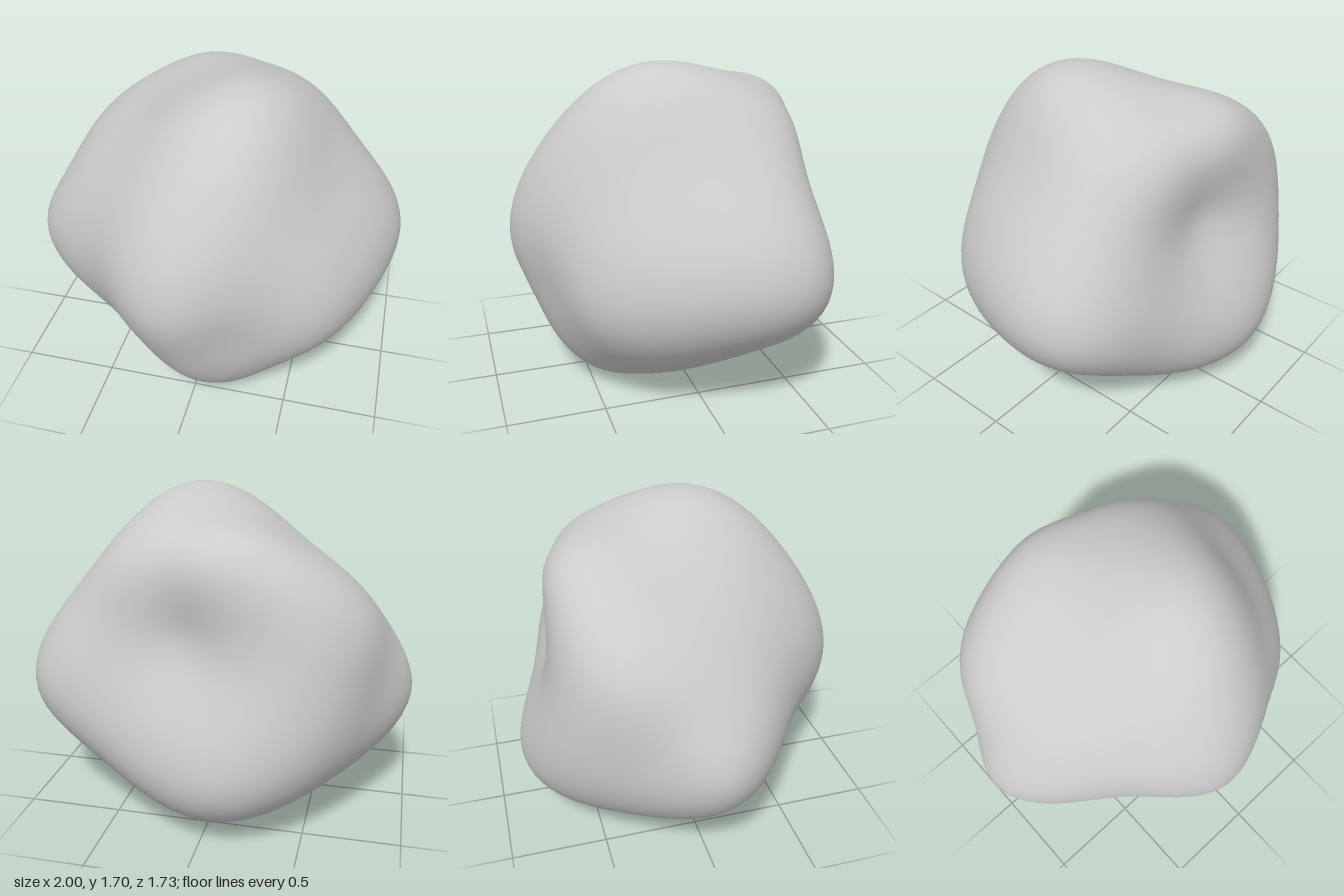
import * as THREE from 'three';
import { mergeVertices } from 'three/addons/utils/BufferGeometryUtils.js';

const CENTRE = new THREE.Vector3(0, 0.845, 0);

// Landmarks the surface passes through: corners, ridges, broad faces, one hollow
const LANDMARKS = [
  [-1, 0.69, -0.01], [0.99, 0.64, -0.25], [0.92, 0.66, -0.48], [-0.08, 0.74, 0.86], // side and front corners
  [0.18, 1.69, 0.15], [-0.08, 0.42, -0.87], [0.1, 0.01, 0.4], [0.6, 0.55, 0.58], // top, back, base, front ridge
  [-0.2, 1.53, -0.54], [0, 1.36, -0.66], [0.41, 1.6, 0.05], [0.15, 1.59, 0.4], // upper rim
  [0, 1.64, -0.12], [0.1, 1.58, -0.4], [-0.4, 1.46, -0.2], [0.33, 1.3, -0.58], // crown and back rim
  [0.65, 1.09, -0.52], [0.73, 1.21, -0.1], [0.47, 1.15, 0.52], [0.58, 1.35, 0.1], // right faces
  [-0.8, 1.1, -0.35], [-0.57, 1.36, -0.42], [-0.35, 1.3, 0.42], [-0.57, 0.85, 0.5], // left faces
  [-0.86, 0.75, -0.32], [-0.9, 0.93, -0.1], [0.25, 0.6, 0.73], [0, 0.28, 0.69], // left edge and front
  [-0.45, 0.14, 0.1], [-0.36, 0.42, 0.54], [0, 0.15, 0.6], [0.45, 0.22, 0.45], // lower front
  [0.47, 0.13, 0.1], [0.7, 0.31, -0.2], [0.6, 0.3, -0.45], [0.15, 0.14, -0.65], // lower right and back
  [-0.64, 0.6, -0.64], [-0.42, 0.14, -0.4], [0, 0.02, -0.2], [0.05, 0.01, 0.12], // lower left and base
  [0.1, 1.1, -0.6], [-0.35, 1.1, -0.7], // hollow in the back and its rim
].map(p => new THREE.Vector3(...p).sub(CENTRE));

// Gaussian elimination with pivoting on rows [coefficients..., value]
function solve(rows) {
  const n = rows.length;
  for (let c = 0; c < n; c++) {
    let best = c;
    for (let r = c + 1; r < n; r++) if (Math.abs(rows[r][c]) > Math.abs(rows[best][c])) best = r;
    [rows[c], rows[best]] = [rows[best], rows[c]];
    for (let r = 0; r < n; r++) {
      if (r === c) continue;
      const f = rows[r][c] / rows[c][c];
      for (let k = c; k <= n; k++) rows[r][k] -= f * rows[c][k];
    }
  }
  return rows.map((row, i) => row[n] / row[i]);
}

// Smooth rule for the radius along any direction: 1/radius is blended,
// since it is linear over a flat face
function radiusRule(points) {
  const dirs = points.map(p => p.clone().normalize());
  const basis = d => [...dirs.map(e => d.distanceTo(e) ** 3), 1, d.x, d.y, d.z];
  const rows = dirs.map((d, i) => [...basis(d), 1 / points[i].length()]);
  for (const side of [() => 1, d => d.x, d => d.y, d => d.z]) {
    rows.push([...dirs.map(side), 0, 0, 0, 0, 0]);
  }
  const weights = solve(rows);
  return d => 1 / basis(d).reduce((sum, b, i) => sum + b * weights[i], 0);
}

export function createModel() {
  const group = new THREE.Group();
  group.name = 'rock';

  // Stone body: a fine sphere pushed in and out by the radius rule
  const ball = new THREE.IcosahedronGeometry(1, 20);
  ball.deleteAttribute('uv');
  ball.deleteAttribute('normal');
  const geometry = mergeVertices(ball, 1e-4);
  const radius = radiusRule(LANDMARKS);
  const position = geometry.attributes.position;
  const d = new THREE.Vector3();
  for (let i = 0; i < position.count; i++) {
    d.fromBufferAttribute(position, i).normalize();
    d.multiplyScalar(radius(d)).add(CENTRE);
    position.setXYZ(i, d.x, d.y, d.z);
  }
  geometry.computeVertexNormals();

  const stone = new THREE.Mesh(geometry, new THREE.MeshStandardMaterial({ color: 0xcccccc }));
  stone.name = 'stone';
  group.add(stone);
  return group;
}
